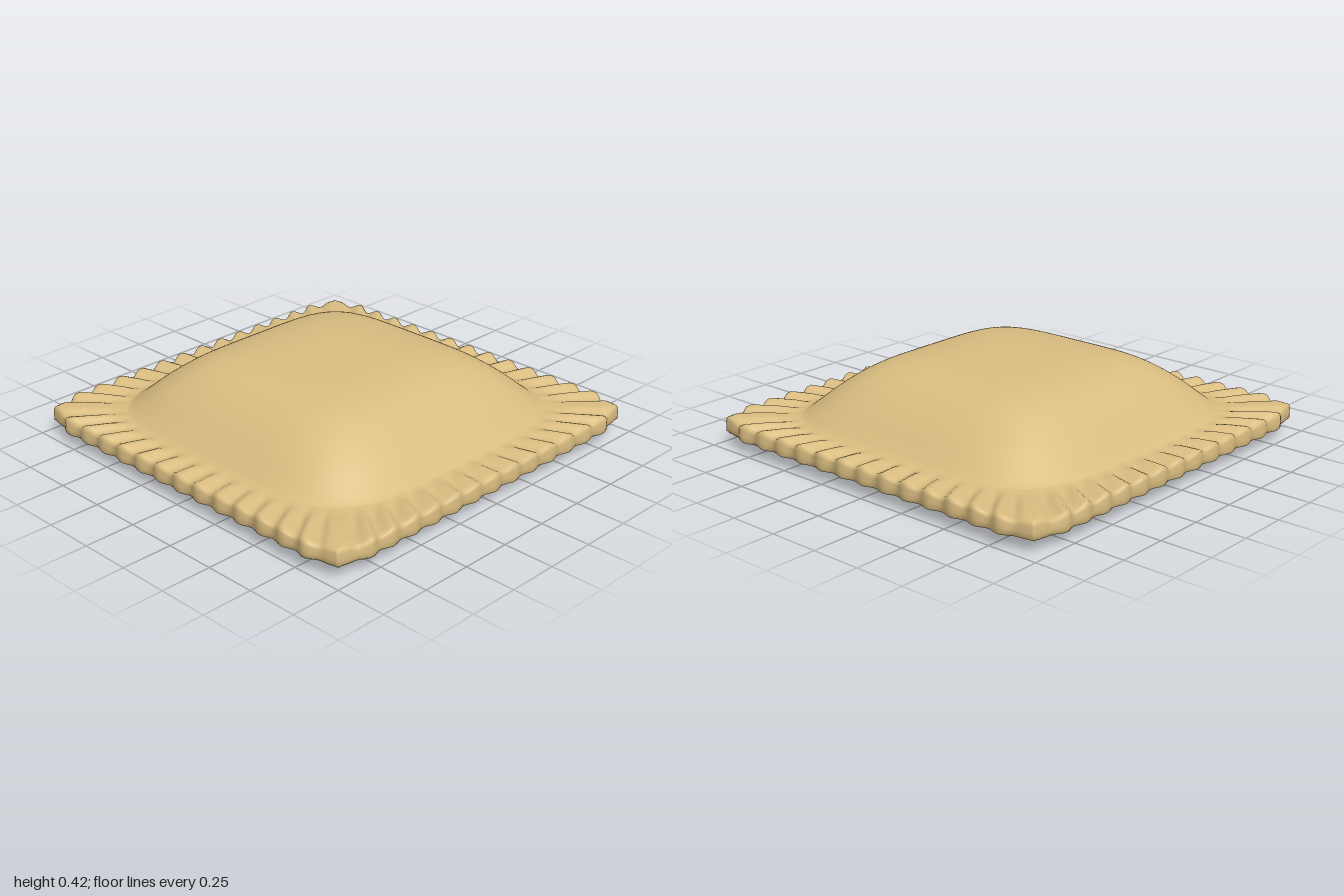
import * as THREE from 'three';
import { mergeVertices } from 'three/addons/utils/BufferGeometryUtils.js';

const STEPS = 112; // points along each side of the square
const smooth = THREE.MathUtils.smoothstep;

// Soft square outline of the filling, for one side with t from -1 to 1
function domePoint(t) {
  const r = 0.82 / Math.pow(1 + Math.pow(Math.abs(t), 4.5), 1 / 4.5);
  return [r, r * t];
}

// Scalloped outer outline with clipped corners
function rimPoint(t) {
  const corner = smooth(Math.abs(t), 0.82, 1);
  return [0.99 - 0.035 * corner + 0.009 * ripple(t), 0.955 * t];
}

// Crimp wave along a side, fading out at the corners
function ripple(t) {
  return Math.cos(t * Math.PI * 14.4) * (1 - smooth(Math.abs(t), 0.86, 1));
}

// Skin square rings: k scales the filling outline, f moves it out to the rim,
// y is the height and wave the depth of the crimping
function sheet(rings) {
  const positions = [], index = [], count = STEPS * 4;
  for (const { k, f, y, wave } of rings) {
    for (let side = 0; side < 4; side++) {
      const c = [1, 0, -1, 0][side], s = [0, 1, 0, -1][side];
      for (let i = 0; i < STEPS; i++) {
        const t = -1 + 2 * i / STEPS;
        const a = domePoint(t), b = rimPoint(t);
        const u = k * (a[0] + (b[0] - a[0]) * f);
        const v = k * (a[1] + (b[1] - a[1]) * f);
        const lift = wave * (ripple(t) + 0.7 * smooth(Math.abs(t), 0.88, 1));
        positions.push(u * c - v * s, y + lift, u * s + v * c);
      }
    }
  }
  for (let r = 0; r < rings.length - 1; r++) {
    for (let j = 0; j < count; j++) {
      const n = (j + 1) % count;
      const a = r * count + j, b = r * count + n, c = a + count, d = b + count;
      index.push(a, d, c, a, b, d);
    }
  }
  const geometry = new THREE.BufferGeometry();
  geometry.setAttribute('position', new THREE.Float32BufferAttribute(positions, 3));
  geometry.setIndex(index);
  const merged = mergeVertices(geometry, 1e-5);
  merged.computeVertexNormals();
  return merged;
}

// Rings over the filling, from a smooth height profile
function fillingRings(profile, count) {
  const curve = new THREE.SplineCurve(profile.map(([x, y]) => new THREE.Vector2(x / 0.82, y)));
  return curve.getPoints(count).map((p) => ({ k: Math.max(p.x, 0), f: 0, y: p.y, wave: 0 }));
}

export function createModel() {
  const model = new THREE.Group();
  model.name = 'stuffedPasta';
  const dough = new THREE.MeshStandardMaterial({ color: 0xd9bc80 });
  dough.name = 'dough';

  // Upper sheet: domed filling, crimped rim and its rolled edge
  const top = fillingRings([
    [0, 0.42], [0.2, 0.421], [0.35, 0.41], [0.48, 0.383], [0.58, 0.335],
    [0.68, 0.262], [0.76, 0.19], [0.8, 0.155], [0.82, 0.142],
  ], 36);
  for (const f of [0.12, 0.25, 0.4, 0.55, 0.7, 0.82, 0.92]) {
    top.push({ k: 1, f, y: 0.138, wave: 0.012 * smooth(f, 0, 0.5) });
  }
  top.push(
    { k: 1, f: 0.975, y: 0.132, wave: 0.012 },
    { k: 1, f: 1, y: 0.118, wave: 0.009 },
    { k: 1, f: 1, y: 0.09, wave: 0.003 },
    { k: 1, f: 1, y: 0.07, wave: 0 },
    { k: 1, f: 0.96, y: 0.058, wave: 0 },
  );
  const topSheet = new THREE.Mesh(sheet(top), dough);
  topSheet.name = 'domedTopSheet';

  // Lower sheet: flat rim underside and shallow belly
  const bottom = [0.96, 0.7, 0.4, 0.15].map((f) => ({ k: 1, f, y: 0.058, wave: 0 }));
  bottom.push(...fillingRings([
    [0.82, 0.055], [0.76, 0.046], [0.65, 0.03], [0.5, 0.014], [0.35, 0.004], [0.2, 0.001], [0, 0],
  ], 18));
  const bottomSheet = new THREE.Mesh(sheet(bottom), dough);
  bottomSheet.name = 'bottomSheet';

  model.add(topSheet, bottomSheet);
  return model;
}
